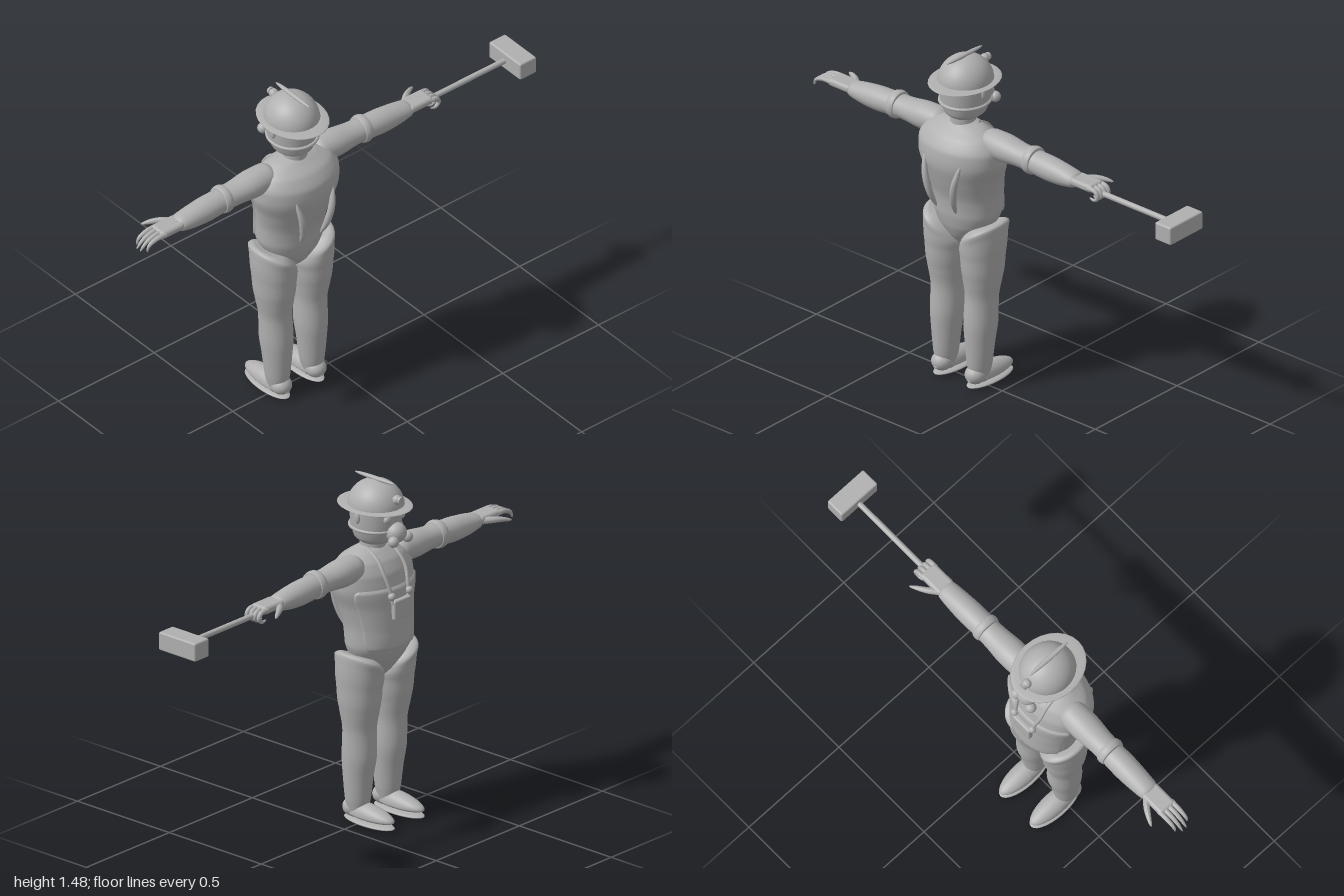
import * as THREE from 'three';
import { RoundedBoxGeometry } from 'three/addons/geometries/RoundedBoxGeometry.js';

const V = (x, y, z) => new THREE.Vector3(x, y, z);

export function createModel() {
  const clay = new THREE.MeshStandardMaterial({ color: 0xb0b0b0 });
  clay.name = 'grey';
  const clayOpen = new THREE.MeshStandardMaterial({ color: 0xb0b0b0, side: THREE.DoubleSide });
  clayOpen.name = 'grey sheet';

  const model = new THREE.Group();
  model.name = 'worker';
  const body = new THREE.Group();
  body.name = 'figure';
  body.position.x = -0.194;
  model.add(body);

  const add = (name, geo, pos = [0, 0, 0], scale = [1, 1, 1], mat = clay) => {
    const m = new THREE.Mesh(geo, mat);
    m.name = name;
    m.position.set(...pos);
    m.scale.set(...scale);
    body.add(m);
    return m;
  };
  const ball = (name, pos, r) =>
    add(name, new THREE.SphereGeometry(1, 28, 18), pos, Array.isArray(r) ? r : [r, r, r]);

  // Smoothly interpolated cross-sections: [y, cx, cz, rx, rz, tilt]
  const smooth = (rows, n) => {
    const a = new THREE.CatmullRomCurve3(rows.map(r => V(r[0], r[1], r[2])));
    const b = new THREE.CatmullRomCurve3(rows.map(r => V(r[3], r[4], r[5] || 0)));
    return Array.from({ length: n + 1 }, (_, i) => {
      const p = a.getPoint(i / n), q = b.getPoint(i / n);
      return [p.x, p.y, p.z, Math.max(q.x, 0.0005), Math.max(q.y, 0.0005), q.z];
    });
  };
  // Closed skin over elliptical sections stacked along y
  const loft = (rows, n = 40, seg = 36) => {
    const s = smooth(rows, n), pos = [], idx = [];
    s.forEach(([y, cx, cz, rx, rz, tilt]) => {
      for (let j = 0; j < seg; j++) {
        const t = j / seg * Math.PI * 2, dx = rx * Math.cos(t);
        pos.push(cx + dx, y + tilt * dx, cz + rz * Math.sin(t));
      }
    });
    for (let i = 0; i < n; i++) for (let j = 0; j < seg; j++) {
      const k = (j + 1) % seg, a = i * seg + j, b = i * seg + k;
      idx.push(a, a + seg, b, b, a + seg, b + seg);
    }
    pos.push(s[0][1], s[0][0], s[0][2], s[n][1], s[n][0], s[n][2]);
    const lo = (n + 1) * seg, top = n * seg;
    for (let j = 0; j < seg; j++) {
      const k = (j + 1) % seg;
      idx.push(lo, j, k, lo + 1, top + k, top + j);
    }
    const g = new THREE.BufferGeometry();
    g.setAttribute('position', new THREE.Float32BufferAttribute(pos, 3));
    g.setIndex(idx);
    g.computeVertexNormals();
    return g;
  };
  // Tube whose radius follows a profile along its path
  const taper = (pts, r, profile) => {
    const n = 20, curve = new THREE.CatmullRomCurve3(pts.map(p => V(...p)));
    const g = new THREE.TubeGeometry(curve, n, r, 12), p = g.attributes.position, v = V(0, 0, 0);
    for (let i = 0; i < p.count; i++) {
      const t = Math.floor(i / 13) / n;
      v.fromBufferAttribute(p, i).lerp(curve.getPointAt(t), 1 - profile(t));
      p.setXYZ(i, v.x, v.y, v.z);
    }
    g.computeVertexNormals();
    return g;
  };
  const fingerShape = t => Math.sqrt(Math.max(0, 1 - t ** 3)) * (1 - 0.25 * t);

  // Torso: y, half width, back z, front z
  const torso = [
    [0.6, 0.005, 0.01, -0.01], [0.66, 0.06, 0.07, -0.07], [0.72, 0.125, 0.1, -0.108],
    [0.78, 0.152, 0.113, -0.133], [0.86, 0.155, 0.122, -0.131], [0.95, 0.172, 0.15, -0.125],
    [1.03, 0.197, 0.168, -0.118], [1.09, 0.196, 0.163, -0.105], [1.14, 0.165, 0.13, -0.078],
    [1.175, 0.1, 0.08, -0.04], [1.19, 0.04, 0.06, -0.02],
  ].map(([y, w, b, f]) => [y, 0, (b + f) / 2, w, (b - f) / 2, 0]);
  add('torso', loft(torso, 60, 48));

  // Chest plate wrapped around the front of the torso
  const rings = smooth(torso, 200);
  const ringAt = y => rings.reduce((a, b) => Math.abs(b[0] - y) < Math.abs(a[0] - y) ? b : a);
  const plate = new THREE.PlaneGeometry(2, 2, 40, 28), pp = plate.attributes.position;
  for (let i = 0; i < pp.count; i++) {
    const u = pp.getX(i), v = pp.getY(i), edge = Math.max(Math.abs(u), Math.abs(v)) > 0.99;
    const y = 0.905 + 0.137 * v, [, , cz, rx, rz] = ringAt(y), off = edge ? -0.004 : 0.007;
    const t = -Math.PI / 2 - u * 1.2 * (1 - 0.16 * Math.abs(v) ** 8);
    pp.setXYZ(i, (rx + off) * Math.cos(t), y, cz + (rz + off) * Math.sin(t));
  }
  plate.computeVertexNormals();
  add('chestPlate', plate, [0, 0, 0], [1, 1, 1], clayOpen);

  // Neck, head and helmet
  add('neck', new THREE.CylinderGeometry(0.052, 0.054, 0.07, 32), [0, 1.19, 0.02]);
  add('head', loft([
    [1.197, 0, 0.01, 0.001, 0.001], [1.2, 0, 0.01, 0.05, 0.05], [1.225, 0, 0.006, 0.083, 0.09],
    [1.28, 0, 0.003, 0.1, 0.107], [1.36, 0, 0.002, 0.104, 0.113], [1.42, 0, 0.002, 0.07, 0.08],
  ]));
  add('headStrap', new THREE.TorusGeometry(0.1, 0.007, 10, 48).rotateX(Math.PI / 2),
    [0, 1.272, 0.006], [1.01, 1, 1.07]);
  add('helmetDome', new THREE.SphereGeometry(1, 40, 20, 0, Math.PI * 2, 0, Math.PI / 2),
    [0, 1.356, 0.003], [0.112, 0.113, 0.121]);
  ball('helmetBrim', [0, 1.361, 0.008], [0.136, 0.008, 0.168]);
  ball('helmetCrest', [0, 1.471, 0.009], [0.011, 0.009, 0.108]);
  ball('helmetLamp', [0, 1.408, -0.112], 0.02);
  add('lampLens', new THREE.CylinderGeometry(0.016, 0.016, 0.01, 20).rotateX(Math.PI / 2),
    [0, 1.41, -0.132]);

  // Face mask
  ball('maskBody', [0, 1.265, -0.107], [0.044, 0.043, 0.043]);
  for (const s of [-1, 1]) {
    ball('maskFilter', [s * 0.042, 1.241, -0.13], 0.023);
    ball('goggleLens', [s * 0.04, 1.328, -0.097], [0.02, 0.018, 0.014]);
    ball('ear', [s * 0.104, 1.328, 0.01], [0.009, 0.026, 0.013]);
  }

  // Chest pouch with straps
  add('pouch', new RoundedBoxGeometry(0.1, 0.085, 0.026, 3, 0.008), [0, 0.945, -0.134]);

  for (const s of [-1, 1]) {
    ball('strapKnob', [s * 0.052, 1.006, -0.131], 0.016);
    add('pouchStrap', taper([[s * 0.046, 0.97, -0.132], [s * 0.055, 1.04, -0.12],
      [s * 0.065, 1.1, -0.097], [s * 0.062, 1.15, -0.06], [s * 0.06, 1.185, 0]], 0.008, () => 1));
    add('backTail', taper([[s * 0.096, 1.045, 0.147], [s * 0.078, 0.96, 0.162],
      [s * 0.063, 0.88, 0.151], [s * 0.052, 0.81, 0.122]], 0.015,
      t => Math.sqrt(Math.sin(Math.PI * Math.min(1, t * 0.98 + 0.01)))));

    // Arm, built upright and then laid along x: distance, height, half height, half depth
    const along = (name, rows) => {
      const m = add(name, loft(rows.map(([d, y, ry, rz]) => [d, -s * y, 0.004, ry, rz])));
      m.rotation.z = -s * Math.PI / 2;
    };
    along('arm', [[0.09, 1.122, 0.002, 0.002], [0.105, 1.122, 0.035, 0.04], [0.14, 1.122, 0.056, 0.06],
      [0.21, 1.12, 0.058, 0.063], [0.31, 1.117, 0.048, 0.055], [0.38, 1.114, 0.049, 0.053],
      [0.45, 1.11, 0.051, 0.054], [0.53, 1.107, 0.045, 0.05], [0.6, 1.107, 0.03, 0.042],
      [0.617, 1.107, 0.002, 0.002]]);
    along('elbowBand', [[0.344, 1.117, 0.04, 0.04], [0.348, 1.117, 0.056, 0.057],
      [0.365, 1.117, 0.06, 0.061], [0.382, 1.117, 0.056, 0.057], [0.386, 1.117, 0.04, 0.04]]);

    // Hand: the left one grips the handle, the right one is open
    add('palm', new RoundedBoxGeometry(0.12, 0.034, 0.084, 4, 0.015), [s * 0.65, 1.113, 0.004]);
    for (let i = 0; i < 4; i++) {
      const z = -0.029 + i * 0.022, r = 0.0115, len = i === 0 || i === 3 ? 0.785 : 0.805;
      const path = s > 0
        ? [[0.69, 1.115, z], [0.728, 1.11, z], [0.74, 1.088, z], [0.722, 1.07, z], [0.695, 1.075, z]]
        : [[-0.69, 1.116, z], [-0.735, 1.114, z], [-0.775, 1.098, z], [-len, 1.07, z]];
      add('finger', taper(path, r, fingerShape));
    }
    add('thumb', taper([[s * 0.61, 1.108, -0.025], [s * 0.645, 1.11, -0.055],
      [s * 0.675, 1.108, -0.074], [s * 0.712, 1.1, -0.094]], 0.015, fingerShape));

    // Leg: y, outward offset, z centre, half width, half depth, slope of the section
    add('leg', loft([
      [0.03, 0.09, 0.02, 0.035, 0.04, 0], [0.1, 0.09, 0.02, 0.05, 0.055, 0],
      [0.2, 0.09, 0.018, 0.06, 0.065, 0], [0.3, 0.09, 0.012, 0.068, 0.075, 0],
      [0.4, 0.092, 0.009, 0.067, 0.072, 0], [0.5, 0.095, 0.007, 0.079, 0.087, 0],
      [0.6, 0.096, 0.006, 0.088, 0.1, 0.1], [0.67, 0.098, 0.003, 0.089, 0.109, 0.4],
      [0.71, 0.106, 0, 0.078, 0.112, 0.5], [0.735, 0.115, 0, 0.05, 0.08, 0.4],
      [0.74, 0.12, 0, 0.002, 0.002, 0.2],
    ].map(([y, x, z, rx, rz, k]) => [y, s * x, z, rx, rz, s * k]), 60));

    // Shoe: flattened sphere, higher toward the heel
    const shoe = new THREE.SphereGeometry(1, 32, 20), sp = shoe.attributes.position;
    for (let i = 0; i < sp.count; i++) {
      const x = sp.getX(i), y = sp.getY(i), z = sp.getZ(i);
      const h = y > 0 ? 0.048 + 0.014 * z : 0.02;
      sp.setXYZ(i, x * 0.047, 0.042 + y * h, -0.042 + z * 0.132);
    }
    shoe.computeVertexNormals();
    add('shoe', shoe, [s * 0.09, 0, 0]);
    ball('heel', [s * 0.09, 0.058, 0.045], [0.044, 0.04, 0.045]);
    ball('sole', [s * 0.09, 0.012, -0.043], [0.05, 0.012, 0.131]);
  }

  // Long-handled mallet held in the left hand
  add('malletHandle', new THREE.CylinderGeometry(0.012, 0.012, 0.46, 20).rotateZ(Math.PI / 2),
    [0.89, 1.095, 0.005]);
  add('malletHead', new RoundedBoxGeometry(0.086, 0.08, 0.2, 3, 0.008), [1.151, 1.095, 0.008]);

  return model;
}
